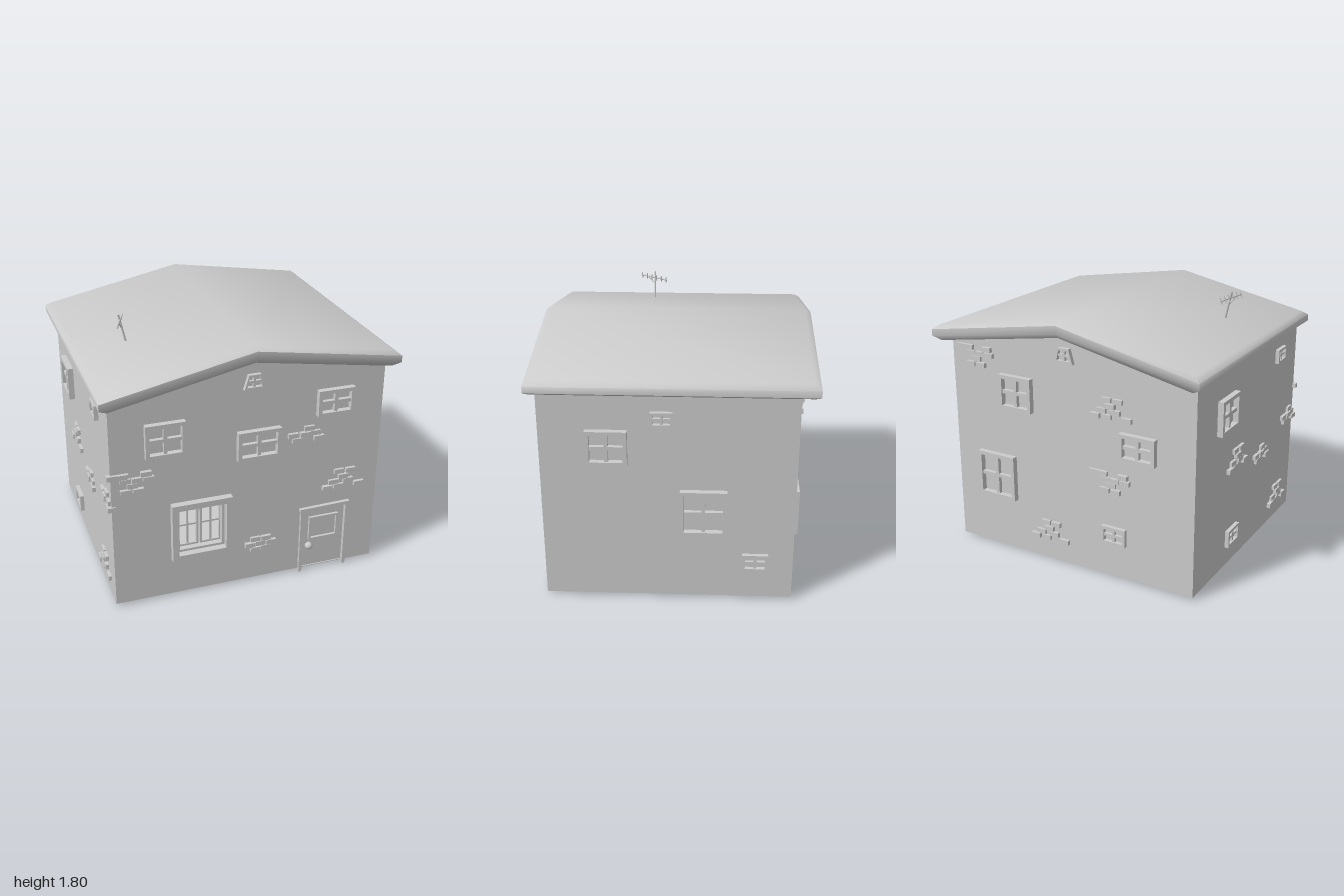
import * as THREE from 'three';
import { toCreasedNormals } from 'three/addons/utils/BufferGeometryUtils.js';

const mat = new THREE.MeshStandardMaterial({ color: 0xcccccc, side: THREE.DoubleSide });

function add(parent, name, geo, x = 0, y = 0, z = 0) {
  const m = new THREE.Mesh(geo, mat);
  m.name = name;
  m.position.set(x, y, z);
  parent.add(m);
  return m;
}
const box = (parent, name, w, h, d, x, y, z) => add(parent, name, new THREE.BoxGeometry(w, h, d), x, y, z);

// Box given by its x and y limits, rising from z0 to z1
const slab = (parent, name, x0, x1, y0, y1, z0, z1) =>
  box(parent, name, x1 - x0, y1 - y0, z1 - z0, (x0 + x1) / 2, (y0 + y1) / 2, (z0 + z1) / 2);

const poly = (pts, Type = THREE.Shape) => new Type(pts.map(p => new THREE.Vector2(...p)));
const rect = (x0, x1, y0, y1, Type) => poly([[x0, y0], [x1, y0], [x1, y1], [x0, y1]], Type);
const extrude = (shape, depth) => new THREE.ExtrudeGeometry(shape, { depth, bevelEnabled: false });

// Frame with an open middle; taper narrows its top
function frame(parent, name, w, h, border, depth, z = 0, taper = 0) {
  const s = rect(-w / 2, w / 2, -h / 2, h / 2);
  s.holes.push(rect(-w / 2 + border, w / 2 - border, -h / 2 + border, h / 2 - border, THREE.Path));
  const g = extrude(s, depth), p = g.attributes.position;
  for (let i = 0; i < p.count; i++) p.setX(i, p.getX(i) * (1 - taper * (p.getY(i) / h + 0.5)));
  g.computeVertexNormals();
  return add(parent, name, g, 0, 0, z);
}

// Four-pane window centred on a wall position
function paneWindow(wall, u, v, w, h, depth = 0.04, taper = 0) {
  const g = new THREE.Group();
  g.name = 'window';
  g.position.set(u, v, 0);
  const border = Math.min(0.026, h * 0.16), bar = border * 0.9;
  frame(g, 'windowFrame', w, h, border, depth, 0, taper);
  box(g, 'mullion', bar, h - border, depth * 0.7, 0, 0, depth * 0.35);
  box(g, 'transom', (w - border) * (1 - taper / 2), bar, depth * 0.7, 0, 0, depth * 0.35);
  wall.add(g);
}

// Groups of bare bricks: each entry is [sideways, upward] in brick steps
const patterns = {
  broken: [[-2, 1.5], [-1.1, 1.5], [0.9, 1.5], [-0.9, 0.5], [0.1, 0.5], [1.1, 0.5], [-0.3, -0.5], [-0.9, -1.5], [0.2, -1.5]],
  small: [[0.1, 1], [-1.4, 0], [-0.3, 0], [0.7, 0], [-1, -1], [1, -1]],
  stair: [[-0.3, 1.5], [0.8, 1.5], [0.1, 0.5], [-0.8, -0.5], [0.6, -0.5], [-1.4, -1.5], [-0.3, -1.5], [1.7, -1.5]],
  stack: [[-0.5, 1], [0.5, 1], [-1, 0], [0, 0], [1, 0], [-0.5, -1], [0.5, -1]],
};
function bricks(wall, kind, u, v) {
  const g = new THREE.Group();
  g.name = 'bareBricks';
  g.position.set(u, v, 0);
  patterns[kind].forEach(([a, b], i) =>
    box(g, 'brick', 0.07, 0.033, 0.036 + 0.008 * (i % 3), a * 0.075, b * 0.038, 0));
  wall.add(g);
}

// Roof slab: stacked rings following the gable, chamfered at both rims
function roofGeometry() {
  const levels = [ // x and z half sizes, heights at left end, ridge, right end
    [0.945, 0.88, 1.445, 1.645, 1.495], [1, 0.91, 1.475, 1.675, 1.525],
    [1, 0.91, 1.52, 1.73, 1.57], [0.96, 0.87, 1.55, 1.75, 1.6]];
  const pos = [], idx = [];
  for (const [x, z, l, a, r] of levels)
    pos.push(-x, l, z, 0, a, z, x, r, z, x, r, -z, 0, a, -z, -x, l, -z);
  const quad = (a, b, c, d) => idx.push(a, b, c, a, c, d);
  for (let k = 0; k < 3; k++)
    for (let i = 0; i < 6; i++) {
      const j = (i + 1) % 6, o = k * 6;
      quad(o + i, o + j, o + 6 + j, o + 6 + i);
    }
  quad(18, 19, 22, 23); quad(19, 20, 21, 22);
  quad(5, 4, 1, 0); quad(4, 3, 2, 1);
  const g = new THREE.BufferGeometry();
  g.setAttribute('position', new THREE.Float32BufferAttribute(pos, 3));
  g.setIndex(idx);
  return toCreasedNormals(g, 0.95);
}

function rod(parent, name, from, to, r) {
  const a = new THREE.Vector3(...from), b = new THREE.Vector3(...to);
  const m = add(parent, name, new THREE.CylinderGeometry(r, r, a.distanceTo(b), 6));
  m.position.copy(a).lerp(b, 0.5);
  m.quaternion.setFromUnitVectors(new THREE.Vector3(0, 1, 0), b.sub(a).normalize());
}

export function createModel() {
  const house = new THREE.Group();
  house.name = 'house';
  const L = -0.94, R = 0.915, F = 0.85, B = -0.8, T = 0.025, Y = 0.02;

  // Gable walls, the front one pierced by the large window and the door
  const gable = () => poly([[L, Y], [R, Y], [R, 1.52], [0, 1.67], [L, 1.47]]);
  const frontShape = gable();
  frontShape.holes.push(rect(-0.515, -0.185, 0.34, 0.675, THREE.Path), rect(0.37, 0.7, 0.025, 0.495, THREE.Path));
  add(house, 'frontWall', extrude(frontShape, T), 0, 0, F - T);
  add(house, 'backWall', extrude(gable(), T), 0, 0, B);
  slab(house, 'leftWall', R - T, R, Y, 1.515, B, F);
  slab(house, 'rightWall', L, L + T, Y, 1.465, B, F);
  add(house, 'roof', roofGeometry());

  // Inner floor, notched behind the door
  const floor = extrude(poly([[L, -F + T], [0.3, -F + T], [0.3, -0.7], [0.76, -0.7], [0.76, -F + T],
    [R, -F + T], [R, -B], [L, -B]]), 0.02);
  floor.rotateX(-Math.PI / 2);
  add(house, 'floor', floor, 0, 0.18, 0);

  // Wall groups: local x runs to the viewer's right, local z points outward
  const wall = (name, x, z, turn) => {
    const g = new THREE.Group();
    g.name = name;
    g.position.set(x, 0, z);
    g.rotation.y = turn;
    house.add(g);
    return g;
  };
  const front = wall('frontDetails', 0, F, 0);
  const back = wall('backDetails', 0, B, Math.PI);
  const left = wall('leftDetails', R, 0, Math.PI / 2);
  const right = wall('rightDetails', L, 0, -Math.PI / 2);

  // Windows: wall, position, width, height
  [
    [front, -0.585, 1.2, 0.262, 0.235], [front, 0.567, 1.293, 0.255, 0.185], [front, 0.04, 1.067, 0.295, 0.207],
    [left, -0.417, 1.13, 0.267, 0.24], [left, -0.066, 1.332, 0.142, 0.098],
    [left, 0.203, 0.668, 0.305, 0.323], [left, 0.549, 0.295, 0.172, 0.122],
    [back, -0.39, 1.19, 0.255, 0.24], [back, -0.57, 0.558, 0.3, 0.325],
    [back, 0.54, 0.975, 0.26, 0.185], [back, 0.36, 0.322, 0.18, 0.125],
    [right, -0.37, 1.153, 0.265, 0.235], [right, 0.52, 1.31, 0.14, 0.1], [right, -0.23, 0.22, 0.172, 0.122],
  ].forEach(([w, u, v, wd, ht]) => paneWindow(w, u, v, wd, ht, wd < 0.2 ? 0.028 : 0.04));
  for (const w of [front, back]) paneWindow(w, 0, 1.512, 0.14, 0.1, 0.028, 0.42);

  // Bare brick patches
  [
    [front, 'broken', -0.78, 0.925], [front, 'small', 0.385, 1.083], [front, 'stair', 0.65, 0.7], [front, 'stack', 0.07, 0.297],
    [back, 'broken', -0.69, 1.4], [back, 'stair', 0.33, 1.21], [back, 'broken', 0.36, 0.7], [back, 'stair', -0.16, 0.23],
    [right, 'stair', -0.19, 0.78], [right, 'small', 0.25, 0.66], [right, 'stair', 0.58, 0.21], [right, 'small', 0.75, 0.79],
  ].forEach(a => bricks(...a));

  // Large open window with two barred sashes set into the wall
  const big = new THREE.Group();
  big.name = 'largeWindow';
  big.position.set(-0.35, 0.508, 0);
  frame(big, 'outerFrame', 0.412, 0.426, 0.042, 0.048);
  frame(big, 'reveal', 0.33, 0.345, 0.018, 0.07, -0.07);
  for (const s of [-1, 1]) {
    frame(big, 'sash', 0.15, 0.31, 0.014, 0.02, -0.06).position.x = s * 0.08;
    box(big, 'sashUpright', 0.012, 0.3, 0.014, s * 0.08, 0, -0.05);
    box(big, 'sashBar', 0.14, 0.012, 0.014, s * 0.08, 0.005, -0.05);
  }
  front.add(big);

  // Door with deep jambs, framed panel and knob
  const door = new THREE.Group();
  door.name = 'door';
  slab(door, 'doorLeaf', 0.37, 0.7, 0.02, 0.495, -0.035, -0.008);
  for (const x of [0.358, 0.69]) slab(door, 'jamb', x, x + 0.022, 0, 0.5, -0.15, 0.02);
  slab(door, 'lintel', 0.35, 0.715, 0.487, 0.512, -0.03, 0.025).rotation.z = 0.02;
  frame(door, 'doorPanelFrame', 0.215, 0.18, 0.014, 0.02, -0.008).position.set(0.535, 0.333, -0.01);
  add(door, 'knob', new THREE.SphereGeometry(0.027, 16, 12), 0.43, 0.198, 0.012);
  front.add(door);

  // Leaning aerial with a boom and short cross rods
  const aerial = new THREE.Group();
  aerial.name = 'aerial';
  rod(aerial, 'mast', [-0.65, 1.59, 0.2], [-0.697, 1.8, 0.2], 0.007);
  const p0 = [-0.655, 1.745, 0.11], p1 = [-0.725, 1.765, 0.305];
  rod(aerial, 'boom', p0, p1, 0.005);
  for (let i = 0; i < 6; i++) {
    const [x, y, z] = p0.map((a, k) => a + (p1[k] - a) * (0.04 + 0.184 * i));
    rod(aerial, 'crossRod', [x - 0.008, y - 0.022, z], [x + 0.008, y + 0.022, z], 0.004);
  }
  rod(aerial, 'brace', [-0.68, 1.71, 0.2], [-0.705, 1.755, 0.25], 0.004);
  house.add(aerial);
  return house;
}
